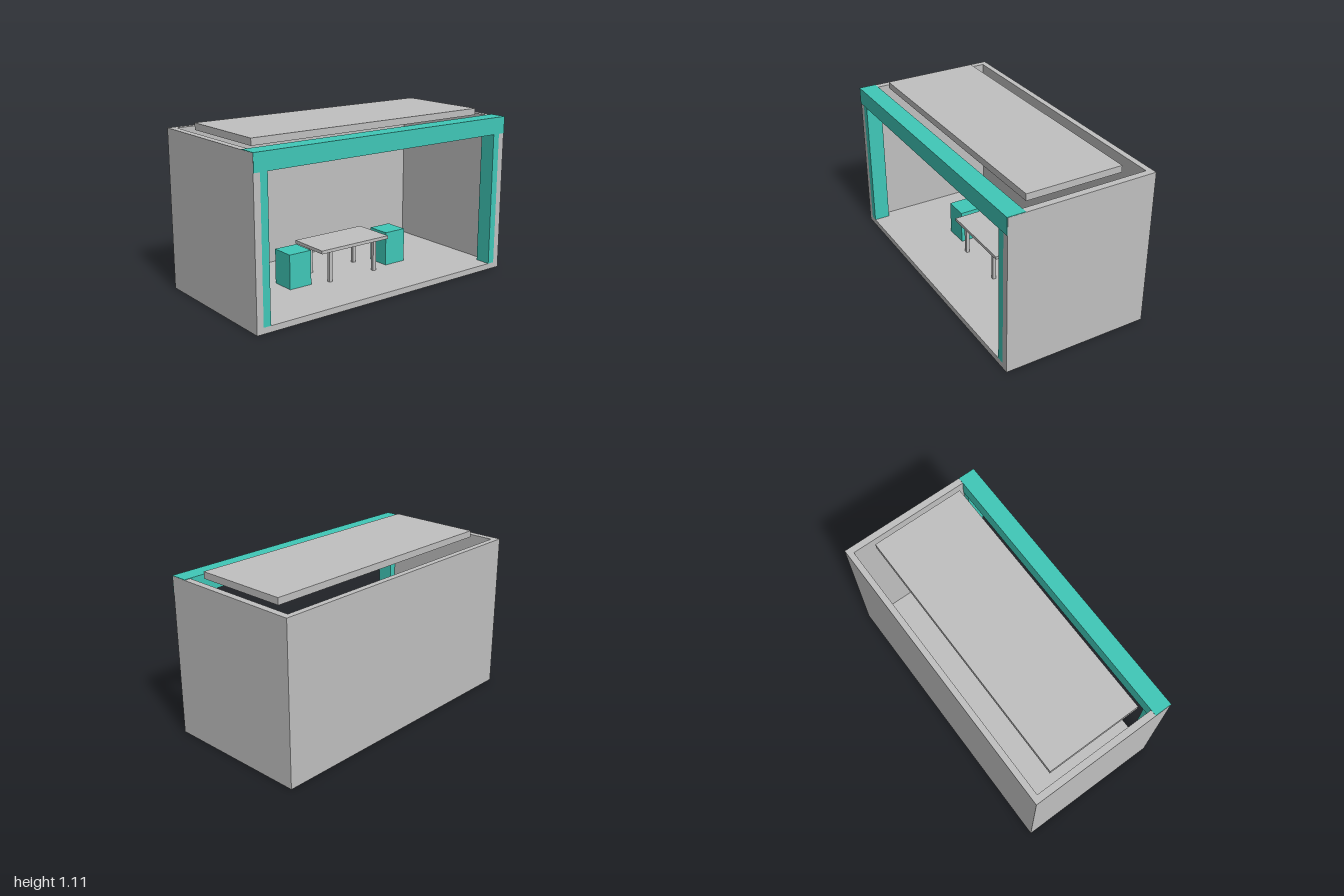
import * as THREE from 'three';

export function createModel() {
  const model = new THREE.Group();
  model.name = 'openBooth';

  const grey = new THREE.MeshStandardMaterial({ color: 0xc0c0c0 });
  grey.name = 'light grey';
  const teal = new THREE.MeshStandardMaterial({ color: 0x40c8b8 });
  teal.name = 'teal';

  // Box given by its extents along each axis
  function box(name, material, [x0, x1], [y0, y1], [z0, z1], parent = model) {
    const mesh = new THREE.Mesh(new THREE.BoxGeometry(x1 - x0, y1 - y0, z1 - z0), material);
    mesh.position.set((x0 + x1) / 2, (y0 + y1) / 2, (z0 + z1) / 2);
    mesh.name = name;
    parent.add(mesh);
    return mesh;
  }
  // Extents mirrored to the side given by s
  const side = (s, a, b) => (s > 0 ? [a, b] : [-b, -a]);

  const floorTop = 0.04, wallTop = 1.067;

  // Shell: floor, back wall and raised roof panel
  box('floor', grey, [-0.955, 0.955], [0, floorTop], [-0.46, 0.5]);
  box('backWall', grey, [-0.955, 0.955], [0, wallTop], [-0.5, -0.46]);
  box('roofPanel', grey, [-0.9, 0.9], [wallTop, 1.112], [-0.327, 0.324]);

  // Front beam, slightly proud of the walls in front and on top
  box('frontBeam', teal, [-0.999, 0.999], [0.955, 1.07], [0.385, 0.504]);

  // Table
  const table = new THREE.Group();
  table.name = 'table';
  model.add(table);
  box('tableTop', grey, [-0.278, 0.278], [0.255, 0.277], [-0.15, 0.15], table);

  for (const s of [1, -1]) {
    const label = s > 0 ? 'left' : 'right';
    box(label + 'Wall', grey, side(s, 0.955, 1), [0, wallTop], [-0.5, 0.5]);
    box(label + 'Post', teal, side(s, 0.905, 0.955), [floorTop, 0.955], [0.39, 0.5]);
    box(label + 'Stool', teal, side(s, 0.318, 0.485), [floorTop, 0.274], [-0.083, 0.083]);
    for (const t of [1, -1]) {
      box(label + (t > 0 ? 'Front' : 'Back') + 'TableLeg', grey,
        side(s, 0.173, 0.198), [floorTop, 0.255], side(t, 0.1, 0.123), table);
    }
  }
  return model;
}
